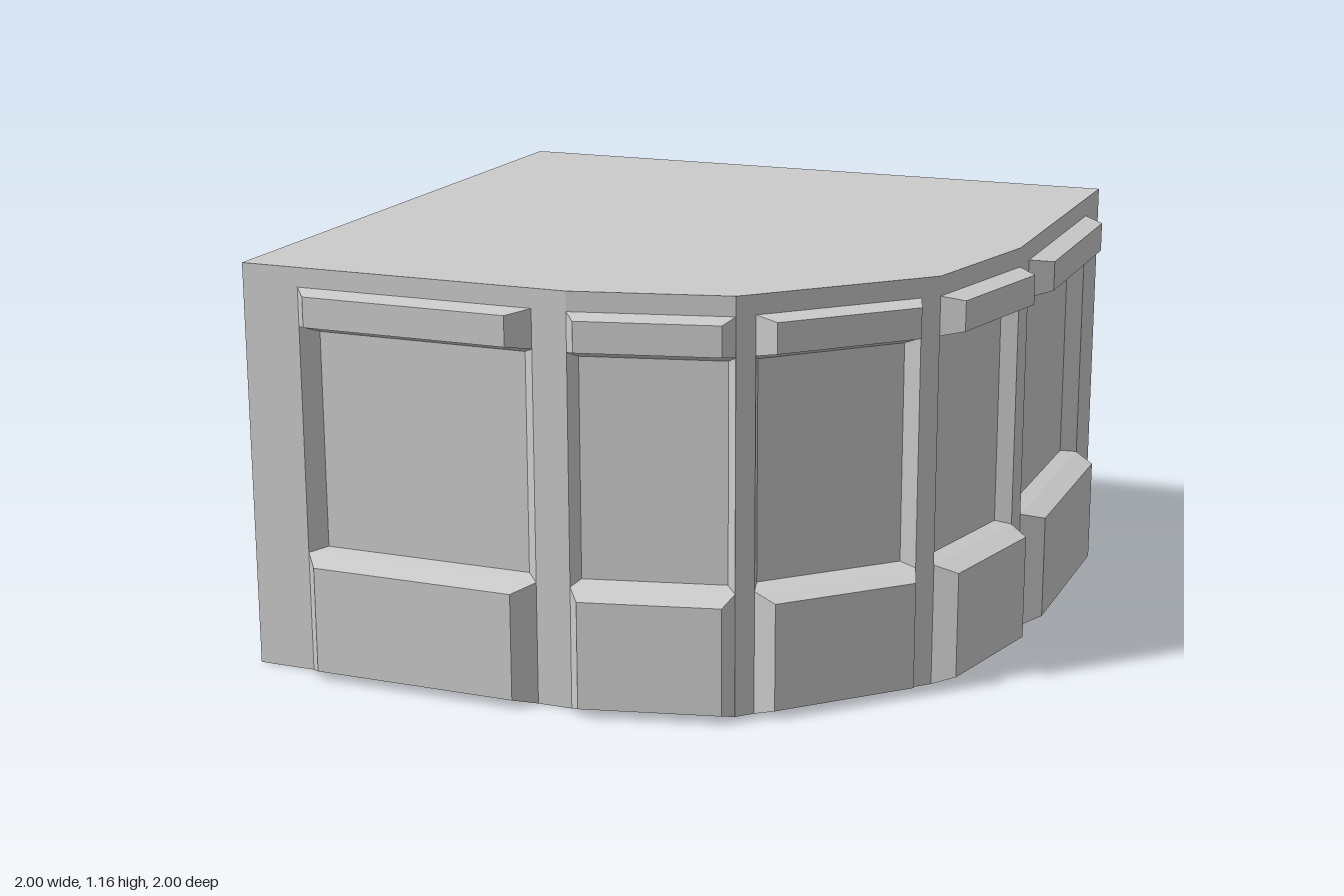
import * as THREE from 'three';

const HEIGHT = 1.165;
const material = new THREE.MeshStandardMaterial({ color: 0xcccccc, flatShading: true });

// Footprint corners [x, z], running along the front and round to the back
const CORNERS = [
  [-1, 0.935], [-0.03, 0.935], [0.405, 0.83], [0.83, 0.405],
  [0.935, -0.03], [0.935, -1], [-1, -1],
];

// Panel start and end along each wall, and how far its ends are chamfered
const WALLS = [
  { name: 'frontWall', start: 0.17, end: 0.87, bevel: 0.05, inset: 0.04 },
  { name: 'frontAngledWall', start: 0, end: 0.447, bevel: 0.028, inset: 0.024 },
  { name: 'cornerWall', start: 0.057, end: 0.544, bevel: 0.032, inset: 0.026 },
  { name: 'sideAngledWall', start: 0, end: 0.447, bevel: 0.028, inset: 0.024 },
  { name: 'sideWall', start: 0.1, end: 0.8, bevel: 0.05, inset: 0.04 },
  { name: 'backWall' },
  { name: 'leftWall' },
];

// Rows of [height, depth]: plinth, sunken panel, top rail, plain band
const PROFILE = [
  [0, 0], [0.025, 0.063], [0.33, 0.063], [0.35, 0], [0.36, -0.043],
  [0.98, -0.043], [1.0, 0], [1.015, 0.063], [1.1, 0.063], [1.11, 0], [HEIGHT, 0],
];

// Joins rows of [along, height, depth] points into flat faces
function loft(rows) {
  const pos = [];
  for (let r = 0; r < rows.length - 1; r++) {
    for (let c = 0; c < rows[r].length - 1; c++) {
      const a = rows[r][c], b = rows[r][c + 1];
      const d = rows[r + 1][c], e = rows[r + 1][c + 1];
      // Split mirrored on the right-hand chamfer so both ends match
      if (c > 2) pos.push(...a, ...b, ...d, ...b, ...e, ...d);
      else pos.push(...a, ...b, ...e, ...a, ...e, ...d);
    }
  }
  const geo = new THREE.BufferGeometry();
  geo.setAttribute('position', new THREE.Float32BufferAttribute(pos, 3));
  geo.computeVertexNormals();
  return geo;
}

function makeWall(wall, from, to) {
  const dx = to[0] - from[0], dz = to[1] - from[1];
  const length = Math.hypot(dx, dz);
  let rows;
  if (wall.start === undefined) {
    rows = [0, HEIGHT].map((y) => [[0, y, 0], [length, y, 0]]);
  } else {
    const end = Math.min(wall.end, length);
    rows = PROFILE.map(([y, depth]) => {
      const i = depth > 0 ? wall.bevel : depth < 0 ? wall.inset : 0;
      return [
        [0, y, 0], [wall.start, y, 0], [wall.start + i, y, depth],
        [end - i, y, depth], [end, y, 0], [length, y, 0],
      ];
    });
  }
  const mesh = new THREE.Mesh(loft(rows), material);
  mesh.name = wall.name;
  mesh.position.set(from[0], 0, from[1]);
  mesh.rotation.y = Math.atan2(-dz, dx);
  return mesh;
}

// Flat cap over the footprint, facing up (1) or down (-1)
function makeCap(name, y, facing) {
  const shape = new THREE.Shape(CORNERS.map(([x, z]) => new THREE.Vector2(x, -z * facing)));
  const geo = new THREE.ShapeGeometry(shape).rotateX((-facing * Math.PI) / 2);
  const mesh = new THREE.Mesh(geo, material);
  mesh.name = name;
  mesh.position.y = y;
  return mesh;
}

export function createModel() {
  const group = new THREE.Group();
  group.name = 'cornerCounter';
  WALLS.forEach((wall, i) => {
    group.add(makeWall(wall, CORNERS[i], CORNERS[(i + 1) % CORNERS.length]));
  });
  group.add(makeCap('counterTop', HEIGHT, 1), makeCap('underside', 0, -1));
  return group;
}
